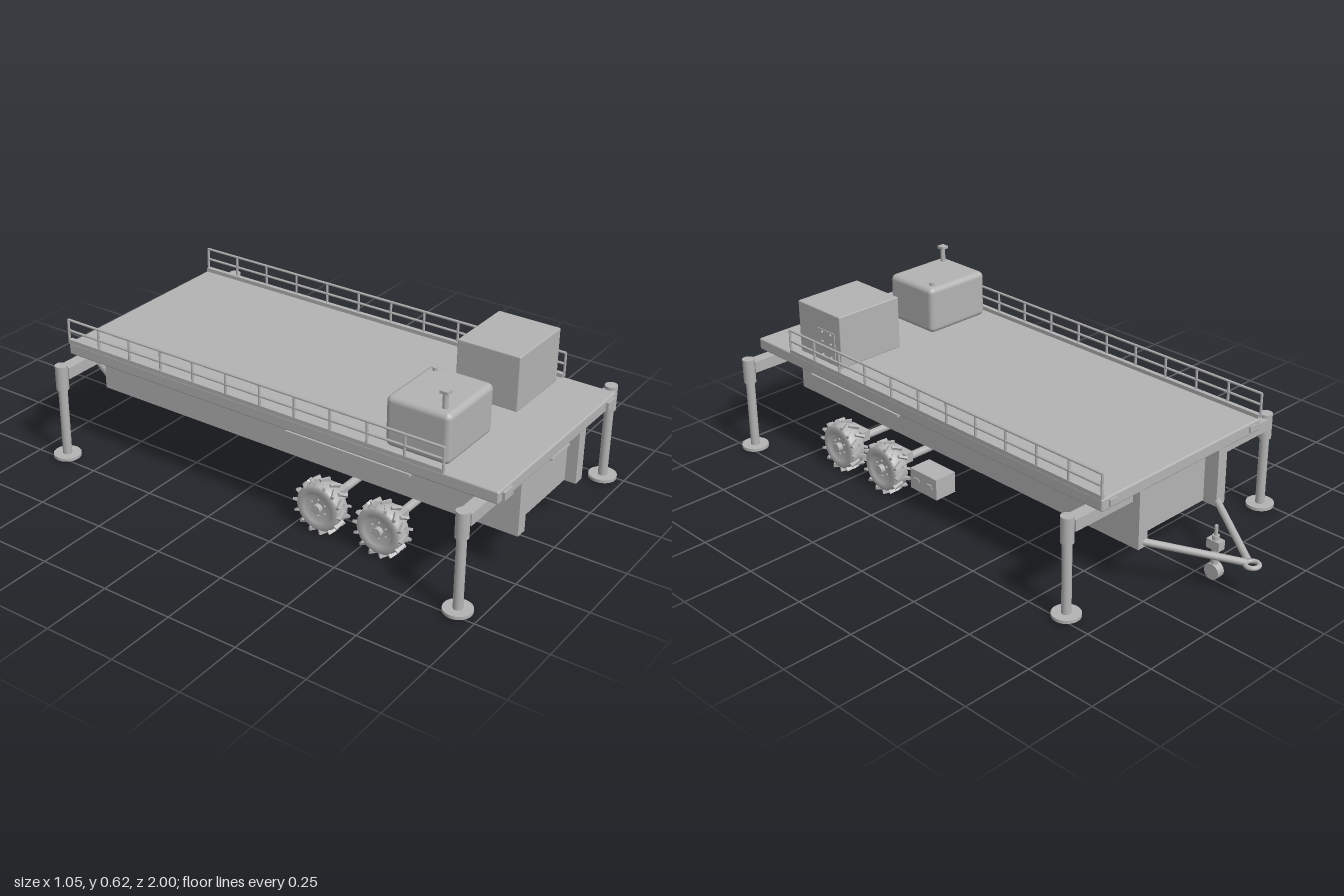
import * as THREE from 'three';
import { RoundedBoxGeometry } from 'three/addons/geometries/RoundedBoxGeometry.js';

const grey = new THREE.MeshStandardMaterial({ color: 0xb3b3b3 });
grey.name = 'plain grey';

function add(parent, name, geometry, x = 0, y = 0, z = 0) {
  const mesh = new THREE.Mesh(geometry, grey);
  mesh.name = name;
  mesh.position.set(x, y, z);
  parent.add(mesh);
  return mesh;
}

// Box given by its limits on each axis
function box(parent, name, x0, x1, y0, y1, z0, z1, r = 0) {
  const w = x1 - x0, h = y1 - y0, d = z1 - z0;
  const g = r ? new RoundedBoxGeometry(w, h, d, 3, r) : new THREE.BoxGeometry(w, h, d);
  return add(parent, name, g, (x0 + x1) / 2, (y0 + y1) / 2, (z0 + z1) / 2);
}

// Upright cylinder between two heights
function post(parent, name, r, x, z, y0, y1, sides = 24) {
  return add(parent, name, new THREE.CylinderGeometry(r, r, y1 - y0, sides), x, (y0 + y1) / 2, z);
}

// Round bar between two points
function bar(parent, name, a, b, r, sides = 12) {
  const p = new THREE.Vector3(...a), q = new THREE.Vector3(...b);
  const mesh = add(parent, name, new THREE.CylinderGeometry(r, r, p.distanceTo(q), sides));
  mesh.position.copy(p).add(q).multiplyScalar(0.5);
  mesh.quaternion.setFromUnitVectors(new THREE.Vector3(0, 1, 0), q.sub(p).normalize());
  return mesh;
}

// Wheel with its axis along x and its outer face towards +x
function makeWheel() {
  const wheel = new THREE.Group();
  wheel.name = 'wheel';
  const profile = [
    [0, -0.02], [0.045, -0.02], [0.052, -0.029], [0.072, -0.031], [0.081, -0.025], [0.084, 0],
    [0.081, 0.025], [0.072, 0.031], [0.052, 0.029], [0.047, 0.02], [0, 0.02],
  ].map(([r, a]) => new THREE.Vector2(r, a));
  const tyre = add(wheel, 'tyre', new THREE.LatheGeometry(profile, 40));
  tyre.rotation.z = -Math.PI / 2;

  // Slanted tread lugs in two staggered rows
  const lugs = 14;
  for (const side of [-1, 1]) {
    for (let i = 0; i < lugs; i++) {
      const spoke = new THREE.Group();
      spoke.rotation.x = ((i + (side > 0 ? 0.5 : 0)) / lugs) * Math.PI * 2;
      const lug = add(spoke, 'treadLug', new THREE.BoxGeometry(0.036, 0.014, 0.009), side * 0.016, 0.085, 0);
      lug.rotation.y = side * 0.5;
      wheel.add(spoke);
    }
  }

  // Hub and bolts
  bar(wheel, 'hub', [0.015, 0, 0], [0.038, 0, 0], 0.016, 20);
  for (let i = 0; i < 6; i++) {
    const a = (i / 6) * Math.PI * 2;
    const y = Math.cos(a) * 0.029, z = Math.sin(a) * 0.029;
    bar(wheel, 'wheelBolt', [0.018, y, z], [0.026, y, z], 0.004, 6);
  }
  return wheel;
}

export function createModel() {
  const model = new THREE.Group();
  model.name = 'platformTrailer';

  // Deck
  box(model, 'deck', -0.382, 0.382, 0.345, 0.388, -0.69, 0.99, 0.006);
  box(model, 'frontEdgePlate', -0.058, 0.058, 0.342, 0.349, 0.95, 0.995);
  for (const s of [-1, 1]) {
    box(model, 'frontLamp', s * 0.336 - 0.025, s * 0.336 + 0.025, 0.352, 0.38, 0.988, 1.0);
    box(model, 'rearLamp', s * 0.336 - 0.016, s * 0.336 + 0.016, 0.356, 0.378, -0.696, -0.688);
    box(model, 'wheelGuard', s * 0.345 - 0.042, s * 0.345 + 0.042, 0.337, 0.346, 0.23, 0.69);
  }

  // Chassis beams and cross plates
  for (const s of [-1, 1]) {
    box(model, 'chassisBeam', s * 0.19 - 0.021, s * 0.19 + 0.021, 0.142, 0.346, -0.69, 0.975);
  }
  for (let i = 0; i < 7; i++) {
    const z = 0.93 - i * 0.26;
    box(model, 'crossPlate', -0.17, 0.17, 0.145, 0.33, z - 0.006, z + 0.006);
  }

  // Side railings
  const railFront = 0.803, railBack = -0.687, posts = 12;
  for (const s of [-1, 1]) {
    const rail = new THREE.Group();
    rail.name = 'railing';
    const x = s * 0.381;
    box(rail, 'railBase', s * 0.377 - 0.008, s * 0.377 + 0.008, 0.387, 0.402, railBack, railFront);
    for (const y of [0.435, 0.475]) bar(rail, 'railBar', [x, y, railBack], [x, y, railFront], 0.0045, 8);
    for (let i = 0; i < posts; i++) {
      post(rail, 'railPost', 0.0045, x, railBack + ((railFront - railBack) * i) / (posts - 1), 0.39, 0.475, 8);
    }
    model.add(rail);
  }

  // Stabiliser legs
  for (const s of [-1, 1]) {
    for (const z of [0.93, -0.64]) {
      const leg = new THREE.Group();
      leg.name = 'stabiliserLeg';
      box(leg, 'legArm', Math.min(s * 0.2, s * 0.465), Math.max(s * 0.2, s * 0.465), 0.303, 0.344, z - 0.022, z + 0.022);
      post(leg, 'legSleeve', 0.022, s * 0.478, z, 0.265, 0.355);
      post(leg, 'legTube', 0.016, s * 0.478, z, 0.012, 0.27);
      post(leg, 'legFoot', 0.048, s * 0.478, z, 0.006, 0.017, 32);
      model.add(leg);
    }
  }

  // Axles and wheels
  for (const z of [0.575, 0.345]) {
    bar(model, 'axle', [-0.335, 0.093, z], [0.335, 0.093, z], 0.014, 16);
    for (const s of [-1, 1]) {
      const wheel = makeWheel();
      wheel.position.set(s * 0.345, 0.093, z);
      if (s < 0) wheel.rotation.y = Math.PI;
      model.add(wheel);
      box(model, 'axleSeat', s * 0.282 - 0.018, s * 0.282 + 0.018, 0.1, 0.138, z - 0.045, z + 0.045);
    }
  }

  // Side storage box
  box(model, 'storageBox', 0.28, 0.365, 0.076, 0.152, 0.068, 0.197);
  for (const z of [0.1, 0.165]) box(model, 'boxLatch', 0.364, 0.369, 0.11, 0.124, z - 0.012, z + 0.012);

  // Drawbar and towing ring
  for (const s of [-1, 1]) bar(model, 'drawbar', [s * 0.19, 0.16, -0.67], [s * 0.006, 0.122, -0.95], 0.012);
  const ring = add(model, 'towRing', new THREE.TorusGeometry(0.022, 0.008, 12, 28), 0, 0.12, -0.97);
  ring.rotation.x = Math.PI / 2;

  // Jockey wheel with its stand
  const jz = -0.825;
  post(model, 'jackTube', 0.012, 0, jz, 0.06, 0.165, 16);
  post(model, 'jackScrew', 0.006, 0, jz, 0.16, 0.2, 10);
  box(model, 'jackClamp', -0.015, 0.015, 0.118, 0.15, jz - 0.025, jz + 0.025);
  bar(model, 'jackWheel', [-0.015, 0.037, jz], [0.015, 0.037, jz], 0.028, 24);

  // Rounded generator housing with exhaust and filler cap
  box(model, 'generator', -0.345, -0.08, 0.387, 0.56, 0.57, 0.797, 0.02);
  post(model, 'exhaustPipe', 0.009, -0.308, 0.757, 0.55, 0.61, 16);
  box(model, 'exhaustCap', -0.322, -0.294, 0.61, 0.62, 0.743, 0.771);
  post(model, 'fillerCap', 0.009, -0.116, 0.605, 0.555, 0.571, 16);

  // Square equipment cabinet with controls on its side
  box(model, 'cabinet', 0.075, 0.341, 0.387, 0.58, 0.57, 0.797, 0.004);
  box(model, 'controlPanel', 0.34, 0.344, 0.405, 0.51, 0.6, 0.69);
  for (const y of [0.415, 0.465, 0.5]) {
    for (const z of [0.62, 0.665]) bar(model, 'controlKnob', [0.342, y, z], [0.35, y, z], 0.005, 10);
  }
  return model;
}
